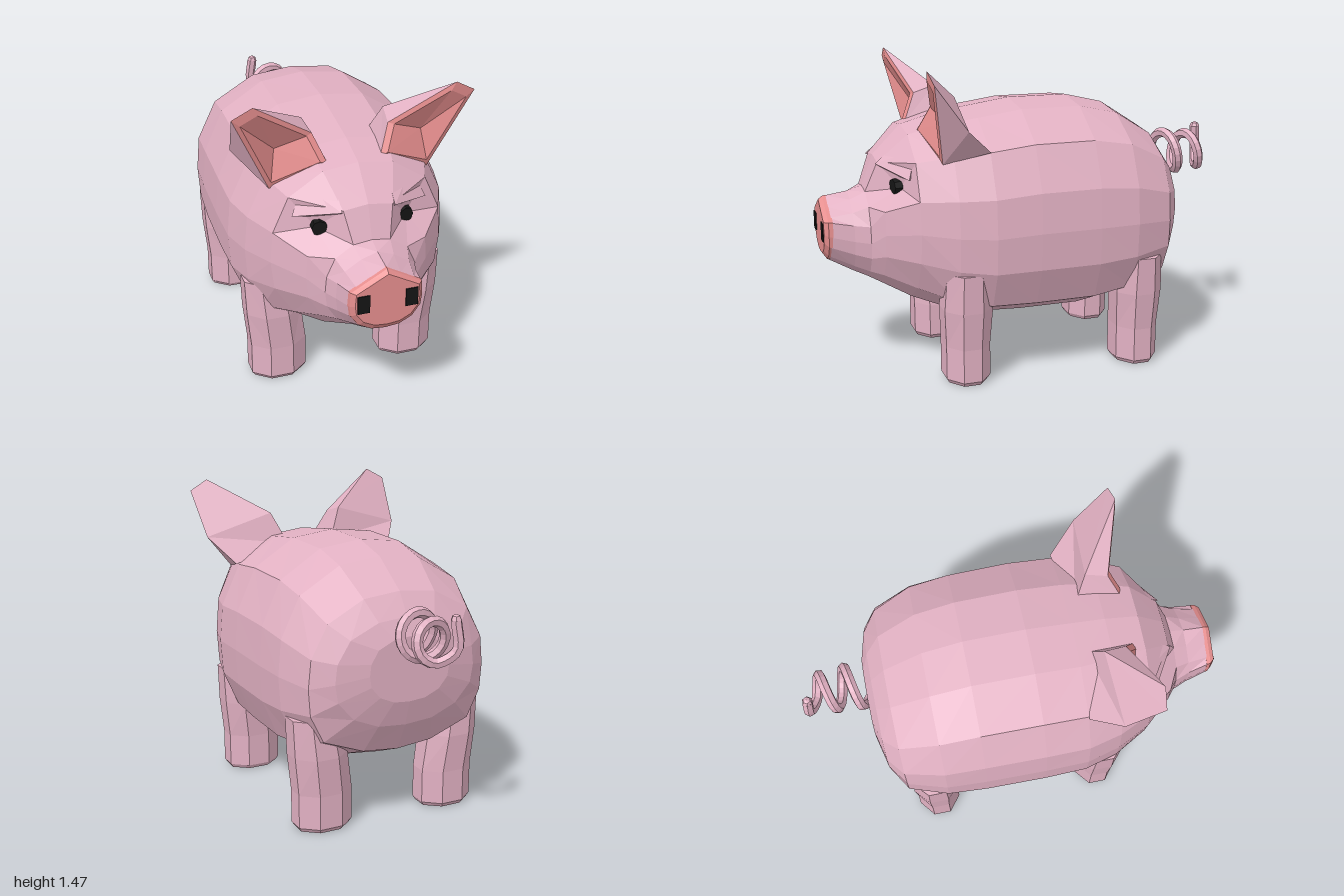
import * as THREE from 'three';
import { ConvexGeometry } from 'three/addons/geometries/ConvexGeometry.js';

const paint = (color, side = THREE.FrontSide) =>
  new THREE.MeshStandardMaterial({ color, flatShading: true, side });
const V = (x, y, z) => new THREE.Vector3(x, y, z);

function facets(triangles) {
  const g = new THREE.BufferGeometry().setFromPoints(triangles);
  g.computeVertexNormals();
  return g;
}

// Skin a row of rings (counter-clockwise about the direction of travel), with end caps;
// the diagonals mirror between the two halves of the ring
function loft(rings) {
  const tris = [], n = rings[0].length;
  for (let i = 0; i + 1 < rings.length; i++) {
    for (let j = 0; j < n; j++) {
      const k = (j + 1) % n;
      const a = rings[i][j], b = rings[i][k], c = rings[i + 1][j], d = rings[i + 1][k];
      if (j < n / 2) tris.push(a, b, d, a, d, c);
      else tris.push(a, b, c, b, d, c);
    }
  }
  [rings[0], rings[rings.length - 1]].forEach((ring, end) => {
    const mid = V(0, 0, 0);
    ring.forEach(p => mid.addScaledVector(p, 1 / n));
    for (let j = 0; j < n; j++) {
      const a = ring[j], b = ring[(j + 1) % n];
      if (end) tris.push(mid, a, b); else tris.push(mid, b, a);
    }
  });
  return facets(tris);
}

// Half cross-section from belly to spine, as fractions of half width and half height
const HALF = [[0, -1], [0.39, -0.955], [0.74, -0.75], [0.96, -0.4], [1, -0.06],
  [0.97, 0.3], [0.79, 0.7], [0.4, 0.95], [0, 1]];
const OUTLINE = [...HALF, ...HALF.slice(1, -1).reverse().map(([u, v]) => [-u, v])];

// Flanks are fuller between the legs; the snout rises to a peak
function section([z, w, bottom, top]) {
  const full = z > -0.65 && z < 0.5 ? 1 : 0;
  const peak = THREE.MathUtils.smoothstep(z, 0.78, 0.96);
  return OUTLINE.map(([u, v]) => {
    const x = full && v < -0.3 && v > -0.9 ? u * (v < -0.5 ? 1.13 : 1.02) : u;
    const h = v > 0 ? THREE.MathUtils.lerp(v, 1 - 0.63 * Math.abs(u), peak) : v;
    return V(x * w, (top + bottom) / 2 + h * (top - bottom) / 2, z);
  });
}

// z, half width, belly height, back height
const STATIONS = [
  [-0.7, 0.2, 0.62, 0.92], [-0.665, 0.35, 0.5, 1.0], [-0.595, 0.445, 0.36, 1.1],
  [-0.41, 0.505, 0.28, 1.22], [-0.22, 0.515, 0.24, 1.265], [0.07, 0.52, 0.24, 1.265],
  [0.28, 0.515, 0.25, 1.235], [0.44, 0.475, 0.285, 1.21], [0.6, 0.4, 0.35, 1.165],
  [0.735, 0.28, 0.425, 1.03], [0.79, 0.21, 0.455, 0.885], [0.86, 0.185, 0.49, 0.865],
  [0.965, 0.165, 0.55, 0.85],
];

function bodyGeometry() {
  const rings = STATIONS.map(section);
  // Pull the cheek points back to form the eye sockets
  for (const p of rings[9]) {
    if (Math.abs(Math.abs(p.x) - 0.79 * 0.28) < 0.005 && p.y > 0.8) {
      p.set(Math.sign(p.x) * 0.21, 0.91, 0.65);
    }
  }
  return loft(rings);
}

// Eight-sided leg that spreads into the flank
function legGeometry(side, z) {
  const levels = [[0, 0.322, 0.12, 0.093], [0.02, 0.322, 0.133, 0.105], [0.18, 0.322, 0.133, 0.105],
    [0.36, 0.343, 0.13, 0.115], [0.54, 0.365, 0.115, 0.105]];
  return loft(levels.map(([y, x, hw, hz]) => Array.from({ length: 8 }, (_, i) => {
    const a = (i + 0.5) * Math.PI / 4, k = 1 / Math.cos(Math.PI / 8);
    return V(side * x + hw * k * Math.sin(a), y, z + hz * k * Math.cos(a));
  })));
}

function addEar(group, side, name, skin, inner) {
  const P = (x, y, z) => V(side * x, y, z);
  // Front rim: inner base, outer base, outer tip, inner tip, inner bend
  const rim = [P(0.12, 1.15, 0.55), P(0.37, 1.04, 0.49), P(0.545, 1.42, 0.565),
    P(0.455, 1.47, 0.575), P(0.175, 1.28, 0.49)];
  const [a, b, d, e, f] = rim;
  const g = P(0.12, 1.16, 0.33), h = P(0.42, 1.09, 0.28);
  const m = P(0.19, 1.31, 0.385), n = P(0.52, 1.21, 0.41);
  const quad = (p, q, r, s) => [p, q, r, p, r, s];
  const shell = facets([...quad(a, f, m, g), m, f, e, ...quad(g, m, n, h),
    ...quad(m, e, d, n), ...quad(b, h, n, d)]);
  // Lip inside the rim, then the hollow
  const mid = P(0.33, 1.24, 0.56), pit = P(0.34, 1.22, 0.47), hollow = [];
  const lip = rim.map(p => p.clone().lerp(mid, 0.17));
  rim.forEach((p, i) => {
    const j = (i + 1) % rim.length;
    hollow.push(...quad(p, rim[j], lip[j], lip[i]), lip[i], lip[j], pit);
  });
  const ear = new THREE.Group();
  ear.name = name;
  for (const [geo, mat, part] of [[shell, skin, 'earShell'], [facets(hollow), inner, 'earHollow']]) {
    const mesh = new THREE.Mesh(geo, mat);
    mesh.name = part;
    ear.add(mesh);
  }
  group.add(ear);
}

// Curly tail ending in an upturned tip
const TAIL_END = V(-0.06, 1.05, -0.965);
function tailGeometry() {
  const points = [V(0, 0.85, -0.67), V(-0.05, 0.86, -0.705)];
  for (let i = 0; i <= 21; i++) {
    const t = i / 21, a = Math.PI - t * Math.PI * 3.5, r = 0.1 - 0.02 * t;
    points.push(V(0.01 + r * Math.cos(a), 0.945 + r * Math.sin(a), -0.73 - 0.21 * t));
  }
  points.push(V(-0.065, 0.92, -0.972), TAIL_END);
  return new THREE.TubeGeometry(new THREE.CatmullRomCurve3(points), 48, 0.025, 6);
}

export function createModel() {
  const model = new THREE.Group();
  model.name = 'pig';
  const pink = paint(0xe2b1c3), earPink = paint(0xe2b1c3, THREE.DoubleSide);
  const coral = paint(0xe68e8e), earCoral = paint(0xe68e8e, THREE.DoubleSide);
  const black = paint(0x151515);
  const add = (name, geometry, material) => {
    const mesh = new THREE.Mesh(geometry, material);
    mesh.name = name;
    model.add(mesh);
    return mesh;
  };

  add('body', bodyGeometry(), pink);
  add('snoutPlate', loft([section([0.955, 0.167, 0.547, 0.852]), section([0.975, 0.164, 0.555, 0.85]),
    section([0.995, 0.145, 0.585, 0.835])]), coral);
  add('tail', tailGeometry(), pink);
  add('tailTip', new THREE.SphereGeometry(0.025, 6, 4), pink).position.copy(TAIL_END);

  for (const side of [1, -1]) {
    const label = side > 0 ? 'left' : 'right';
    add(label + 'FrontLeg', legGeometry(side, 0.385), pink);
    add(label + 'BackLeg', legGeometry(side, -0.465), pink);
    addEar(model, side, label + 'Ear', earPink, earCoral);

    // Brow overhanging the socket
    add(label + 'Brow', new ConvexGeometry([[0.12, 1.01, 0.745], [0.31, 0.965, 0.63], [0.25, 1.09, 0.585],
      [0.12, 1.09, 0.655], [0.13, 0.96, 0.67], [0.25, 0.955, 0.6]].map(([x, y, z]) => V(side * x, y, z))), pink);

    const eye = add(label + 'Eye', new THREE.CylinderGeometry(0.036, 0.042, 0.04, 8).rotateX(Math.PI / 2), black);
    eye.position.set(side * 0.195, 0.915, 0.665);
    eye.rotation.y = side * 0.2;

    const nostril = add(label + 'Nostril', new THREE.BoxGeometry(0.055, 0.085, 0.04), black);
    nostril.position.set(side * 0.108, 0.705, 0.98);
  }
  return model;
}
